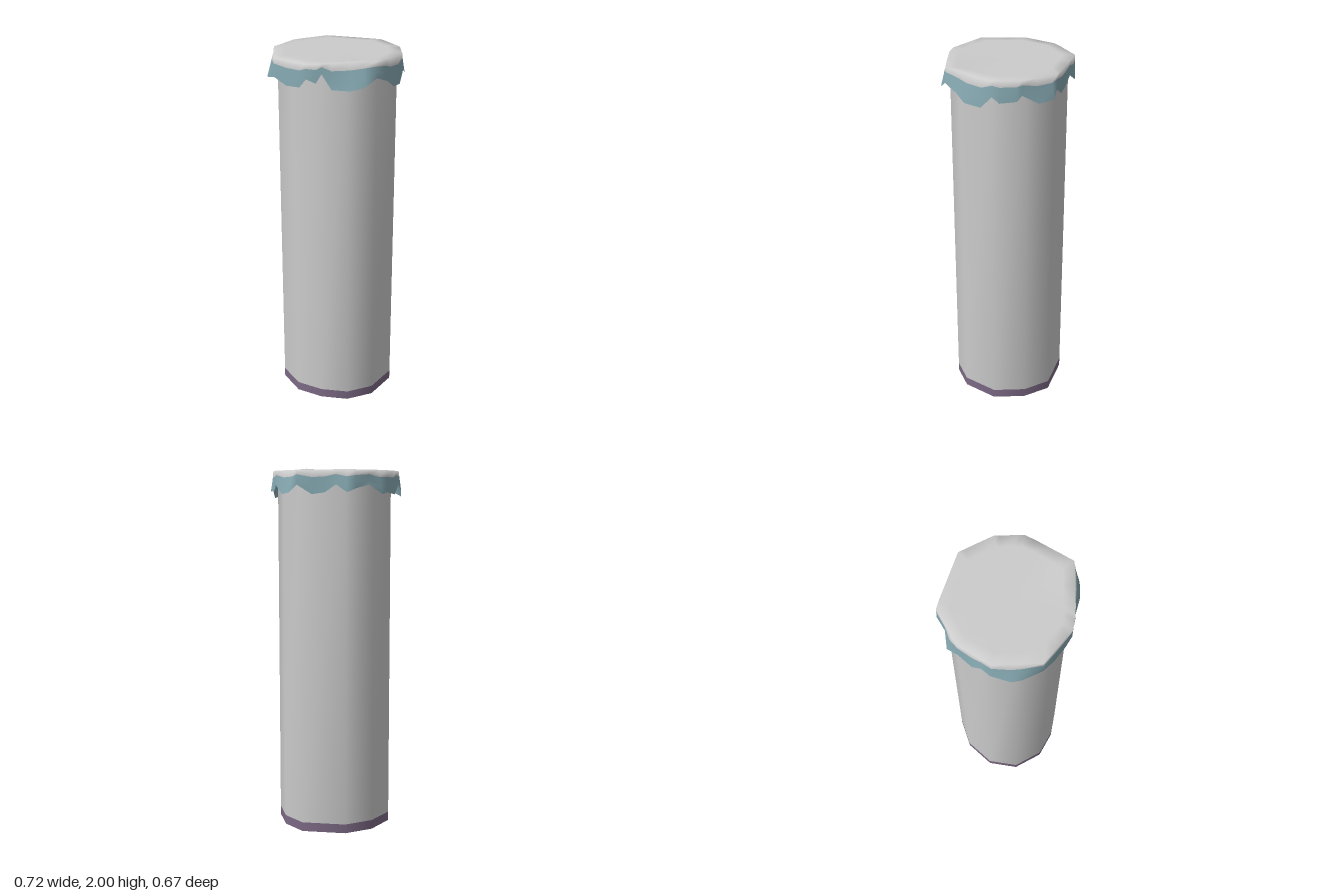
import * as THREE from 'three';

// Outlines run counterclockwise seen from above, as [x, z]
const bodyOutline = [
  [-0.02, 0.29], [0.13, 0.28], [0.255, 0.19], [0.325, 0], [0.27, -0.17], [0.16, -0.285],
  [-0.08, -0.3], [-0.22, -0.21], [-0.305, -0.05], [-0.29, 0.12], [-0.17, 0.25],
];
const lidOutline = [
  [-0.275, 0.235], [-0.075, 0.33], [0.01, 0.322], [0.265, 0.255], [0.352, 0],
  [0.31, -0.155], [0.18, -0.3], [-0.132, -0.325], [-0.285, -0.185], [-0.345, 0],
];
// Scalloped hem of the cloth: [x, z, y]
const hem = [
  [-0.275, 0.235, 1.875], [-0.2, 0.275, 1.845], [-0.12, 0.31, 1.85], [-0.08, 0.33, 1.9],
  [-0.03, 0.325, 1.88], [0, 0.325, 1.93], [0.05, 0.318, 1.85], [0.15, 0.32, 1.85],
  [0.22, 0.3, 1.87], [0.27, 0.26, 1.91], [0.31, 0.19, 1.88], [0.335, 0.14, 1.84],
  [0.35, 0.05, 1.83], [0.357, -0.01, 1.895], [0.358, -0.05, 1.865], [0.325, -0.13, 1.87],
  [0.313, -0.155, 1.9], [0.27, -0.23, 1.85], [0.22, -0.295, 1.86], [0.18, -0.3, 1.9],
  [0.1, -0.305, 1.85], [0.03, -0.31, 1.86], [-0.03, -0.32, 1.9], [-0.09, -0.335, 1.86],
  [-0.135, -0.325, 1.88], [-0.2, -0.265, 1.9], [-0.27, -0.24, 1.85], [-0.29, -0.18, 1.86],
  [-0.33, -0.1, 1.85], [-0.345, -0.05, 1.9], [-0.36, 0, 1.87], [-0.355, 0.1, 1.84], [-0.335, 0.15, 1.85],
];

const material = (color) => new THREE.MeshStandardMaterial({ color, side: THREE.DoubleSide });

// Point where the ray from the axis towards (x, z) meets an outline
function onOutline(outline, x, z) {
  for (let i = 0; i < outline.length; i++) {
    const [ax, az] = outline[i];
    const [bx, bz] = outline[(i + 1) % outline.length];
    const ex = bx - ax, ez = bz - az;
    const det = x * ez - z * ex;
    if (Math.abs(det) < 1e-9) continue;
    const k = (ax * ez - az * ex) / det;
    const s = (ax * z - az * x) / det;
    if (k > 0 && s >= -1e-6 && s <= 1 + 1e-6) return [x * k, z * k];
  }
  return [x, z];
}

// Skin over rings of [x, y, z], from top to bottom; a centre point closes the top.
// The first `split` bands use material 0, the rest material 1.
function loft(rings, split, centre) {
  const n = rings[0].length;
  const points = rings.flat();
  const index = [];
  if (centre) {
    points.push(centre);
    for (let i = 0; i < n; i++) index.push(points.length - 1, i, (i + 1) % n);
  }
  let splitAt = 0;
  for (let r = 0; r < rings.length - 1; r++) {
    if (r === split) splitAt = index.length;
    for (let i = 0; i < n; i++) {
      const a = r * n + i, b = r * n + (i + 1) % n;
      index.push(a, a + n, b, b, a + n, b + n);
    }
  }
  const geometry = new THREE.BufferGeometry();
  geometry.setAttribute('position', new THREE.Float32BufferAttribute(points.flat(), 3));
  geometry.setIndex(index);
  geometry.addGroup(0, splitAt, 0);
  geometry.addGroup(splitAt, index.length - splitAt, 1);
  geometry.computeVertexNormals();
  return geometry;
}

export function createModel() {
  const model = new THREE.Group();

  // Hollow post, open below, with a dark band round its foot
  const bodyRings = [1.96, 0.05, 0].map((y) => bodyOutline.map(([x, z]) => [x, y, z]));
  const post = new THREE.Mesh(loft(bodyRings, 1), [material(0xcccccc), material(0x7d6a86)]);
  post.name = 'post';
  model.add(post);

  // Rim of the cloth top, with a fold lifted at one corner
  const rim = hem.map(([x, z]) => {
    const [rx, rz] = onOutline(lidOutline, x, z);
    const lift = Math.max(0, 1 - Math.hypot(rx - 0.19, rz - 0.27) / 0.25);
    return [rx, 1.977 + 0.023 * lift, rz];
  });
  const flat = rim.map(([x, , z]) => [x * 0.82, 1.98, z * 0.82]);
  const bottom = hem.map(([x, z, y]) => [x, y, z]);
  const between = (t) => rim.map((p, i) => p.map((v, k) => v + (bottom[i][k] - v) * t));

  // Cloth cover: pale top, coloured hanging hem
  const cover = new THREE.Mesh(
    loft([flat, rim, between(0.3), between(0.65), bottom], 2, [0, 1.98, 0]),
    [material(0xcccccc), material(0x86a9b2)],
  );
  cover.name = 'clothCover';
  model.add(cover);

  return model;
}
